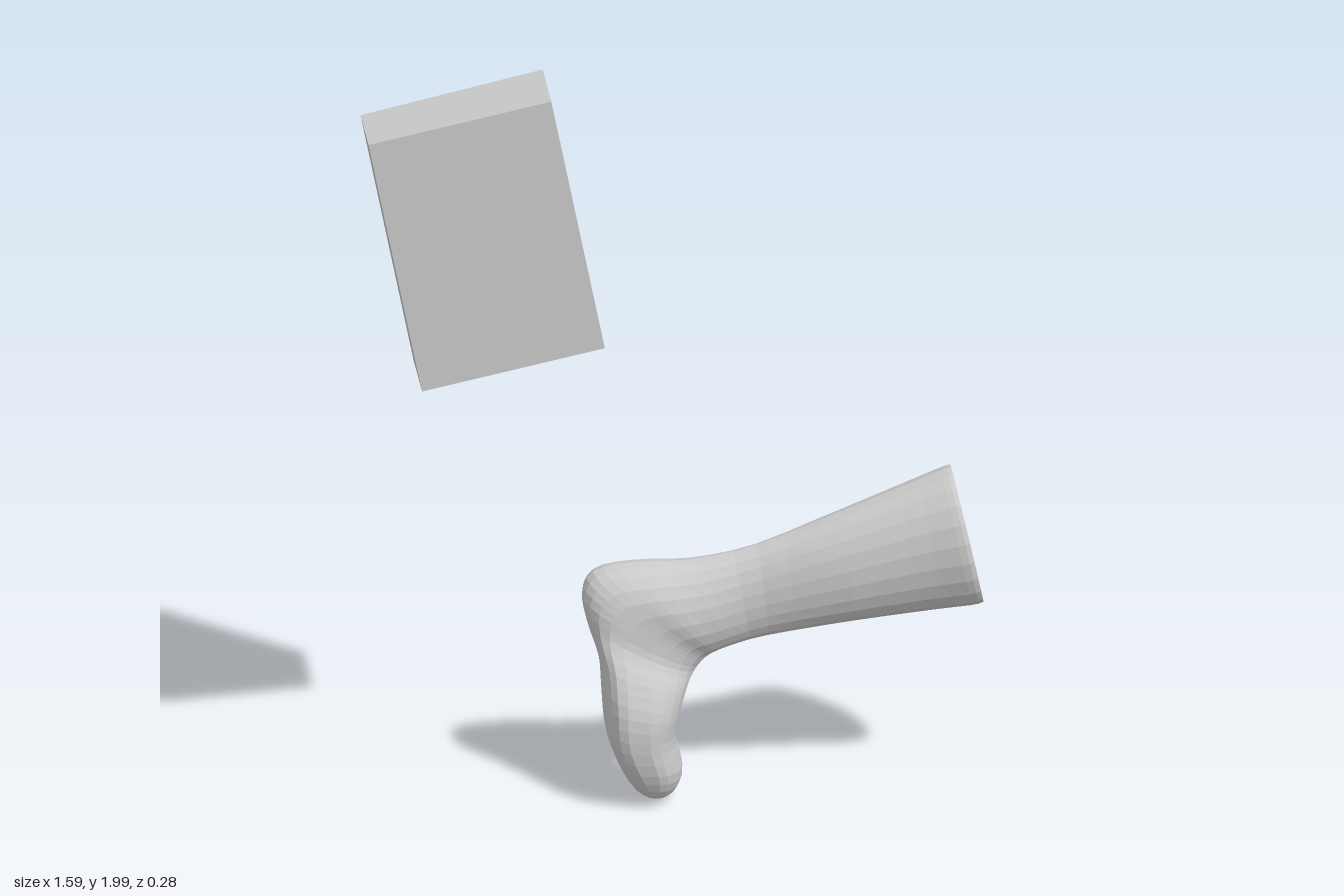
import * as THREE from 'three';

const grey = new THREE.MeshStandardMaterial({ color: 0xcccccc, flatShading: true });

// Slightly irregular tilted slab: a unit box whose corners are moved
function makeBlock() {
  const geo = new THREE.BoxGeometry(2, 2, 2);
  const p = geo.attributes.position;
  for (let i = 0; i < p.count; i++) {
    const sx = p.getX(i), sy = p.getY(i), sz = p.getZ(i);
    p.setXYZ(i,
      -0.495 + 0.235 * sx - 0.069 * sy,
      1.598 + 0.053 * sx + 0.349 * sy,
      sz > 0 ? 0.073 + 0.008 * sx : -0.13 + 0.005 * sy);
  }
  const mesh = new THREE.Mesh(geo, grey);
  mesh.name = 'block';
  return mesh;
}

// Boot sections from toe to cuff: [outer x, y, inner x, y, centre z, half width, sole flatness]
const sections = [
  [-0.065, 0.008, -0.045, 0.008, -0.01, 0.02, 0],
  [-0.11, 0.04, -0.005, 0.03, 0, 0.08, 0.2],
  [-0.15, 0.11, 0.018, 0.09, 0, 0.12, 0.5],
  [-0.18, 0.2, 0.0, 0.18, 0.003, 0.135, 0.6],
  [-0.19, 0.3, 0.01, 0.25, 0.01, 0.127, 0.6],
  [-0.197, 0.4, 0.03, 0.31, -0.005, 0.112, 0.6],
  [-0.225, 0.49, 0.052, 0.345, -0.03, 0.1, 0.5],
  [-0.237, 0.575, 0.075, 0.37, -0.037, 0.1, 0.3],
  [-0.2, 0.63, 0.09, 0.383, -0.038, 0.1, 0.1],
  [-0.1, 0.647, 0.11, 0.395, -0.036, 0.1, 0],
  [0.04, 0.65, 0.14, 0.408, -0.03, 0.082, 0],
  [0.2, 0.682, 0.23, 0.432, -0.025, 0.063, 0],
  [0.4, 0.762, 0.43, 0.467, -0.015, 0.09, 0],
  [0.6, 0.845, 0.65, 0.495, -0.008, 0.113, 0],
  [0.69, 0.882, 0.765, 0.508, -0.004, 0.13, 0],
  [0.712, 0.888, 0.793, 0.515, -0.004, 0.126, 0],
];

function makeBoot() {
  const N = 22, M = 42;
  const curve = f => new THREE.CatmullRomCurve3(
    sections.map(s => new THREE.Vector3(...f(s))), false, 'catmullrom', 0.5);
  const outer = curve(s => [s[0], s[1], 0]);
  const inner = curve(s => [s[2], s[3], 0]);
  const width = curve(s => [s[4], s[5], s[6]]);
  const pos = [], idx = [], centres = [];
  for (let i = 0; i <= M; i++) {
    const t = i / M;
    const a = outer.getPoint(t), b = inner.getPoint(t), w = width.getPoint(t);
    const mid = a.clone().add(b).multiplyScalar(0.5);
    centres.push([mid.x, mid.y, w.x]);
    for (let j = 0; j < N; j++) {
      const th = j / N * Math.PI * 2, c = Math.cos(th);
      // flatter on the sole side
      const u = c > 0 ? Math.pow(c, 1 - Math.max(0, w.z)) : c;
      pos.push(mid.x + (a.x - b.x) / 2 * u, mid.y + (a.y - b.y) / 2 * u,
        w.x + w.y * Math.sin(th));
    }
  }
  for (let i = 0; i < M; i++) {
    for (let j = 0; j < N; j++) {
      const k = (j + 1) % N, r = i * N, q = r + N;
      idx.push(r + j, r + k, q + k, r + j, q + k, q + j);
    }
  }
  // Toe and cuff caps
  const toe = pos.length / 3;
  pos.push(...centres[0], ...centres[M]);
  for (let j = 0; j < N; j++) {
    const k = (j + 1) % N;
    idx.push(toe, k, j, toe + 1, M * N + j, M * N + k);
  }
  const geo = new THREE.BufferGeometry();
  geo.setAttribute('position', new THREE.Float32BufferAttribute(pos, 3));
  geo.setIndex(idx);
  geo.computeVertexNormals();
  const mesh = new THREE.Mesh(geo, grey);
  mesh.name = 'boot';
  return mesh;
}

export function createModel() {
  const group = new THREE.Group();
  group.name = 'bootAndBlock';
  group.add(makeBlock(), makeBoot());
  return group;
}
